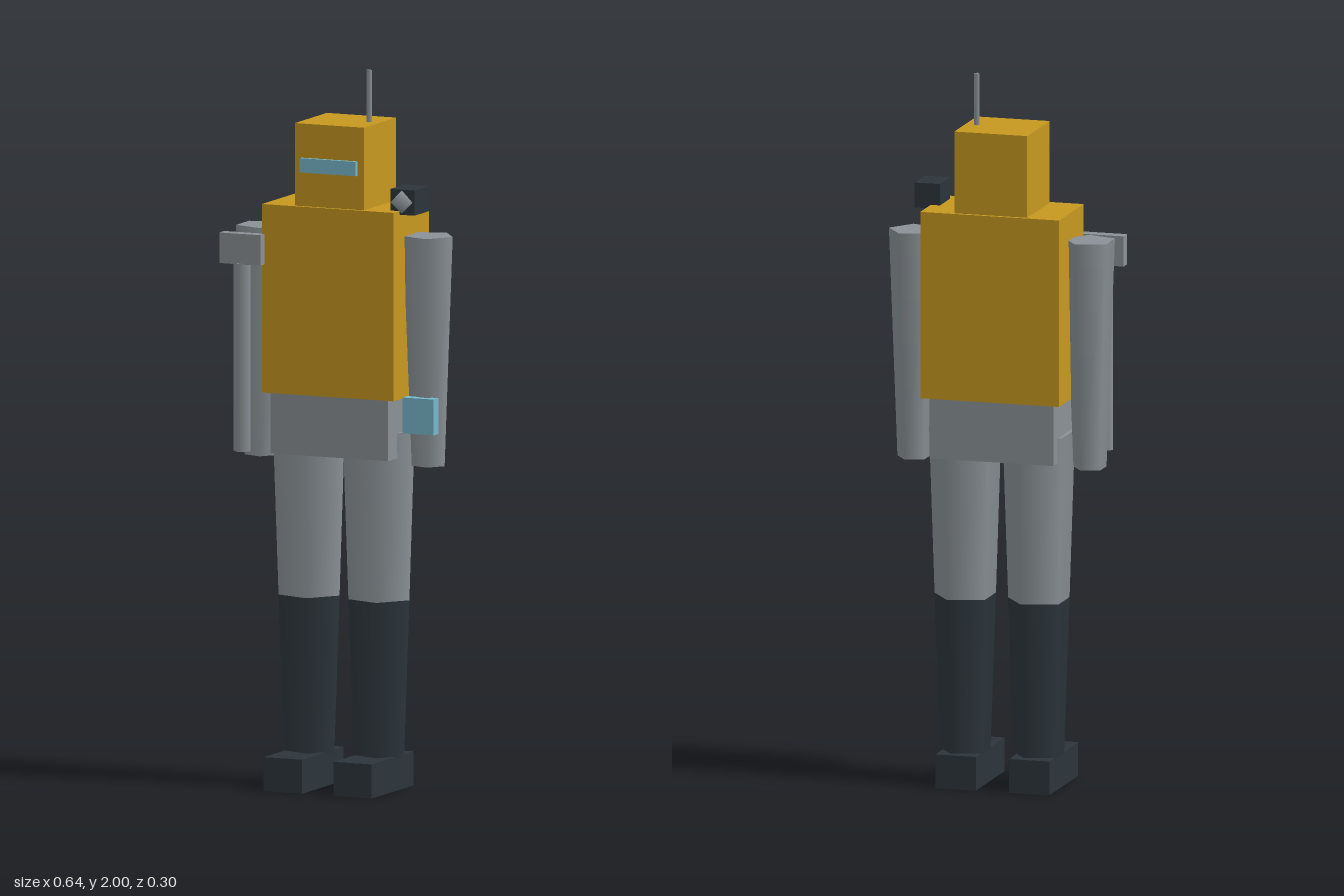
import * as THREE from 'three';

function mat(name, color) {
  const m = new THREE.MeshStandardMaterial({ color });
  m.name = name;
  return m;
}

export function createModel() {
  const root = new THREE.Group();
  root.name = 'robot';
  const gold = mat('gold', 0xc69820);
  const gray = mat('steel gray', 0x8a9196);
  const dark = mat('dark slate', 0x2c353b);
  const cyan = mat('pale cyan', 0x78b8cc);
  const MID_Z = -0.033; // depth of the body axis

  const add = (name, geometry, material, x, y, z) => {
    const mesh = new THREE.Mesh(geometry, material);
    mesh.name = name;
    mesh.position.set(x, y, z);
    root.add(mesh);
  };
  // Box from its lower and upper bounds on each axis
  const box = (name, material, [x0, x1], [y0, y1], [z0, z1]) =>
    add(name, new THREE.BoxGeometry(x1 - x0, y1 - y0, z1 - z0), material,
      (x0 + x1) / 2, (y0 + y1) / 2, (z0 + z1) / 2);
  // Upright tapered prism with one corner pointing to +x
  const limb = (name, material, sides, x, z, [y0, y1], rBottom, rTop) =>
    add(name, new THREE.CylinderGeometry(rTop, rBottom, y1 - y0, sides, 1, false, Math.PI / 2),
      material, x, (y0 + y1) / 2, z);

  // Head and body
  box('head', gold, [-0.11, 0.1], [1.625, 1.855], [-0.138, 0.073]);
  box('visor', cyan, [-0.09, 0.08], [1.72, 1.76], [0.065, 0.084]);
  limb('antenna', gray, 4, 0.067, MID_Z, [1.85, 2.0], 0.008, 0.008);
  box('torso', gold, [-0.205, 0.195], [1.1, 1.625], [-0.148, 0.083]);
  box('hips', gray, [-0.185, 0.172], [0.93, 1.1], [-0.136, 0.07]);

  // Arms and legs
  for (const [side, armX, legX] of [['left', 0.248, 0.1], ['right', -0.259, -0.112]]) {
    limb(side + 'Arm', gray, 5, armX, MID_Z, [0.91, 1.55], 0.048, 0.0725);
    limb(side + 'Thigh', gray, 5, legX, MID_Z, [0.53, 1.0], 0.089, 0.105);
    limb(side + 'Shin', dark, 5, legX, MID_Z, [0.09, 0.53], 0.073, 0.089);
    box(side + 'Foot', dark, [legX - 0.058, legX + 0.058], [0, 0.095], [-0.126, 0.147]);
  }

  // Wrist panel on the left arm
  box('wristPanel', cyan, [0.2, 0.295], [1.005, 1.105], [0.006, 0.037]);

  // Shoulder lamp
  box('shoulderLamp', dark, [0.168, 0.241], [1.615, 1.685], [-0.05, 0.046]);
  add('lampLens', new THREE.SphereGeometry(0.032, 5, 2, Math.PI), gray, 0.205, 1.652, 0.051);

  // Tool in front of the right arm
  box('toolPlate', gray, [-0.322, -0.197], [1.457, 1.542], [0.078, 0.11]);
  limb('toolRod', gray, 4, -0.26, 0.094, [0.935, 1.46], 0.026, 0.026);

  return root;
}
